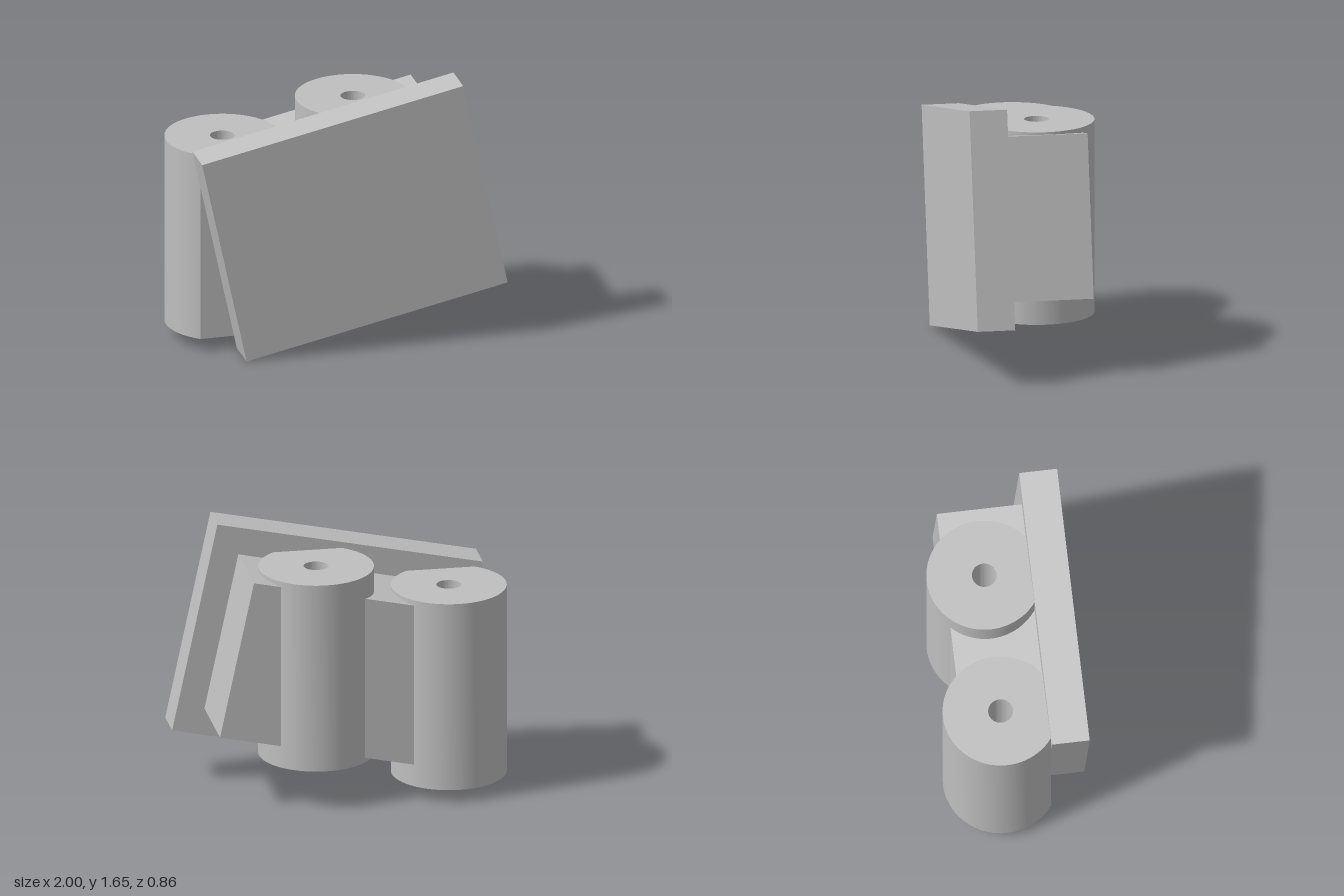
import * as THREE from 'three';
import { toCreasedNormals } from 'three/addons/utils/BufferGeometryUtils.js';

const TILT = THREE.MathUtils.degToRad(12);
const SEAM_Z = 0.2; // plane where the plate meets the barrels
const BARREL = { radius: 0.35, hole: 0.075, z: -0.08, height: 1.195 };

export function createModel() {
  const model = new THREE.Group();
  const grey = new THREE.MeshStandardMaterial({ color: 0xbfbfbf });
  grey.name = 'grey';

  const add = (name, geometry) => {
    const mesh = new THREE.Mesh(geometry, grey);
    mesh.name = name;
    model.add(mesh);
    return mesh;
  };

  // Tilted front plate
  const plate = add('frontPlate', new THREE.BoxGeometry(1.667, 1.333, 0.23));
  plate.position.set(0.042, 0.83, SEAM_Z + 0.115);
  plate.rotation.z = TILT;

  // Upright barrel with a bore, cut flat against the plate
  const flat = SEAM_Z - BARREL.z;
  const a = Math.asin(flat / BARREL.radius);
  const plan = new THREE.Shape();
  plan.absarc(0, 0, BARREL.radius, -a, Math.PI + a, false);
  plan.closePath();
  const bore = new THREE.Path();
  bore.absarc(0, 0, BARREL.hole, 0, Math.PI * 2, true);
  plan.holes.push(bore);
  const barrelGeometry = toCreasedNormals(
    new THREE.ExtrudeGeometry(plan, { depth: BARREL.height, bevelEnabled: false, curveSegments: 64 })
      .rotateX(-Math.PI / 2), 0.6);
  for (const [name, x, y] of [['outerBarrel', -0.65, 0.086], ['innerBarrel', 0.165, 0.26]]) {
    add(name, barrelGeometry).position.set(x, y, BARREL.z);
  }

  // Tilted web joining the barrels, in pieces that stay clear of the bores
  const slope = Math.tan(TILT);
  const top = (x) => 1.456 + (x - 0.59) * slope;
  const bottom = (x) => 0.478 + (x - 0.798) * slope;
  const web = (name, left, rightBottom, rightTop) => {
    const side = new THREE.Shape([
      new THREE.Vector2(left, bottom(left)),
      new THREE.Vector2(rightBottom, bottom(rightBottom)),
      new THREE.Vector2(rightTop, top(rightTop)),
      new THREE.Vector2(left, top(left)),
    ]);
    add(name, new THREE.ExtrudeGeometry(side, { depth: SEAM_Z + 0.317, bevelEnabled: false }))
      .position.z = -0.317;
  };
  web('middleWeb', -0.5, 0.015, 0.015);
  web('endWeb', 0.315, 0.798, 0.59);

  return model;
}
